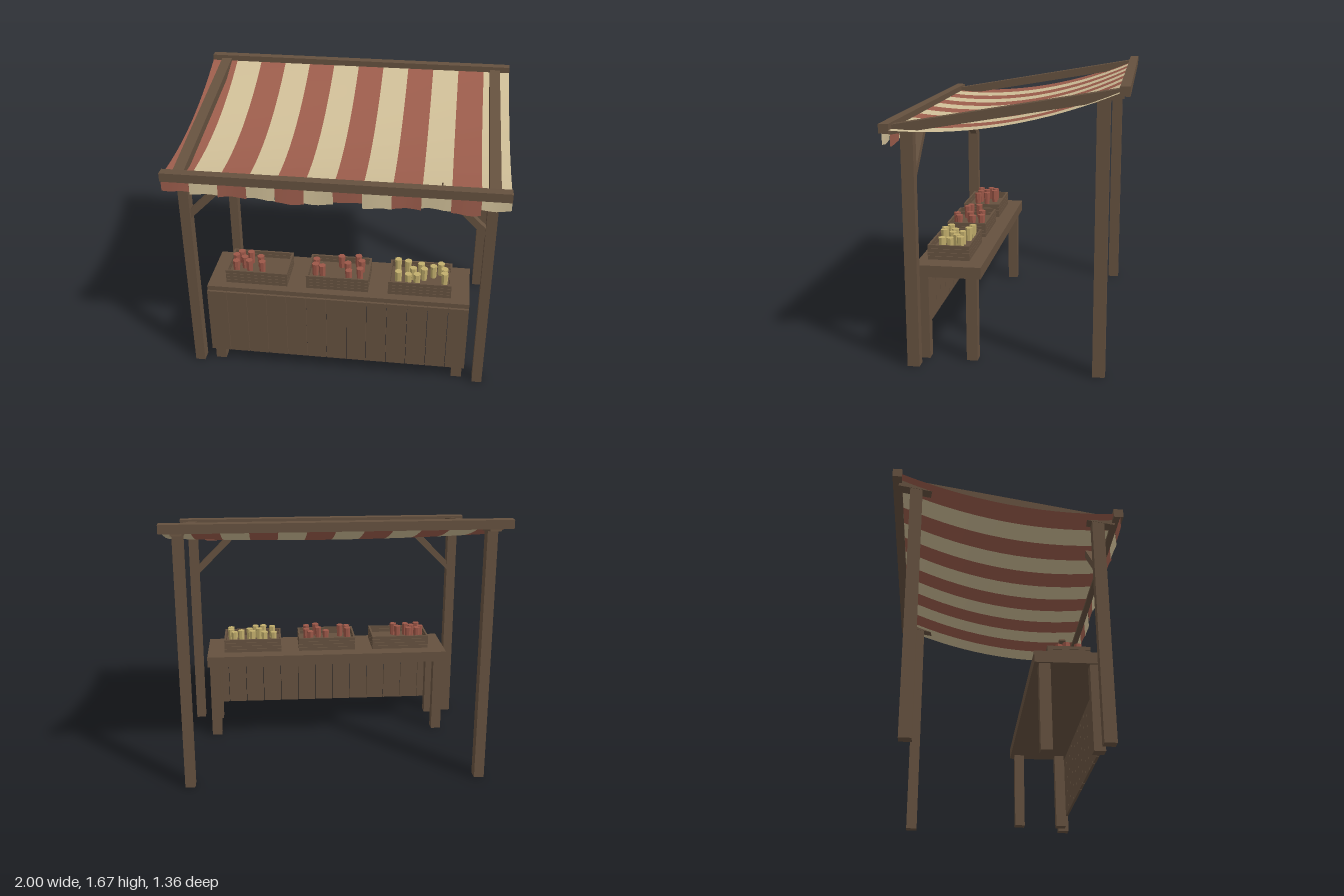
import * as THREE from 'three';

const material = (name, color, side = THREE.FrontSide) => {
  const m = new THREE.MeshStandardMaterial({ color, side });
  m.name = name;
  return m;
};

export function createModel() {
  const model = new THREE.Group();
  model.name = 'marketStall';
  const wood = material('brown wood', 0x65513f);
  const redCloth = material('red cloth', 0x9c5d4c, THREE.DoubleSide);
  const creamCloth = material('cream cloth', 0xcfbe97, THREE.DoubleSide);
  const redFruit = material('red produce', 0x9c5748);
  const yellowFruit = material('yellow produce', 0xc2ae6c);
  redFruit.flatShading = yellowFruit.flatShading = true;

  let seed = 11;
  const rand = () => (seed = (seed * 16807) % 2147483647) / 2147483647;

  const add = (name, geometry, mat, parent = model) => {
    const mesh = new THREE.Mesh(geometry, mat);
    mesh.name = name;
    parent.add(mesh);
    return mesh;
  };
  // Box given by its lower and upper corners
  const box = (name, x0, x1, y0, y1, z0, z1, parent = model) => {
    const mesh = add(name, new THREE.BoxGeometry(x1 - x0, y1 - y0, z1 - z0), wood, parent);
    mesh.position.set((x0 + x1) / 2, (y0 + y1) / 2, (z0 + z1) / 2);
    return mesh;
  };

  // Frame: cross beams, posts, sloping rafters and corner braces
  box('frontBeam', -1, 1, 1.388, 1.442, 0.623, 0.68);
  box('backBeam', -1, 1, 1.613, 1.666, -0.682, -0.627);
  for (const s of [-1, 1]) {
    const side = s > 0 ? 'left' : 'right';
    const x = s * 0.905;
    box(side + 'FrontPost', x - 0.031, x + 0.031, 0, 1.4, 0.505, 0.577);
    box(side + 'BackPost', x - 0.031, x + 0.031, 0, 1.59, -0.577, -0.505);

    const rafter = add(side + 'Rafter', new THREE.BoxGeometry(0.066, 0.054, 1.305), wood);
    rafter.position.set(x, 1.51, 0);
    rafter.rotation.x = Math.atan2(0.222, 1.285);

    // The left brace is a little longer and just pierces the cloth
    const reach = s > 0 ? 0.293 : 0.28;
    const brace = add(side + 'Brace', new THREE.BoxGeometry(0.042, reach * Math.SQRT2, 0.045), wood);
    brace.position.set(s * (0.89 - reach / 2), 1.095 + reach / 2, 0.537);
    brace.rotation.z = s * Math.PI / 4;
  }

  // Striped awning, sagging most in the middle, with an uneven front valance
  const awning = new THREE.Group();
  awning.name = 'awning';
  model.add(awning);
  const stripes = 12, w = 2 / stripes;
  const drops = [1.322, 1.312, 1.303, 1.303, 1.287, 1.293, 1.315, 1.29, 1.3, 1.308, 1.287, 1.322];
  for (let i = 0; i < stripes; i++) {
    const mat = i % 2 ? creamCloth : redCloth;
    const cx = -1 + (i + 0.5) * w;
    const cloth = new THREE.PlaneGeometry(w, 1.28, 2, 14).rotateX(-Math.PI / 2).translate(cx, 0, 0);
    const p = cloth.attributes.position;
    for (let k = 0; k < p.count; k++) {
      const t = (0.64 - p.getZ(k)) / 1.28;
      const sag = 0.099 - 0.022 * p.getX(k) ** 2;
      p.setY(k, 1.407 + 0.228 * t - sag * 4 * t * (1 - t));
    }
    cloth.computeVertexNormals();
    add('awningStripe', cloth, mat, awning);

    const flap = new THREE.PlaneGeometry(w, 1, 4, 1);
    const f = flap.attributes.position;
    for (let k = 0; k < f.count; k++) {
      const u = f.getX(k) / w, top = f.getY(k) > 0;
      const bottom = drops[i] + 0.006 * Math.sin(u * 5 + i);
      const z = top ? 0.661 : 0.664 + 0.004 * Math.sin(u * 3 + i * 2);
      f.setXYZ(k, cx + f.getX(k), top ? 1.395 : bottom, z);
    }
    flap.computeVertexNormals();
    add('valanceFlap', flap, mat, awning);
  }

  // Counter: top slab, four legs and front planks
  const counter = new THREE.Group();
  counter.name = 'counter';
  model.add(counter);
  box('counterTop', -0.82, 0.82, 0.515, 0.585, 0.157, 0.553, counter);
  for (const x of [-0.773, 0.773])
    for (const z of [0.217, 0.506])
      box('counterLeg', x - 0.033, x + 0.033, 0, 0.516, z - 0.033, z + 0.033, counter);
  const planks = 13, pw = 1.642 / planks;
  for (let i = 0; i < planks; i++) {
    const x = -0.821 + i * pw;
    box('frontPlank', x + 0.0015, x + pw - 0.0015, 0.096, 0.555, 0.5535, 0.569, counter);
  }

  // Slatted crates on the counter, filled with upright produce
  const crates = [
    { x: -0.513, mat: redFruit, count: 8 },
    { x: -0.003, mat: redFruit, count: 9 },
    { x: 0.51, mat: yellowFruit, count: 12 },
  ];
  for (const { x, mat, count } of crates) {
    const crate = new THREE.Group();
    crate.name = 'crate';
    crate.position.set(x, 0.585, 0.373);
    model.add(crate);
    box('crateFloor', -0.183, 0.183, 0.036, 0.046, -0.114, 0.114, crate);
    for (let r = 0; r < 4; r++) {
      const y = 0.001 + r * 0.0228;
      for (const s of [-1, 1]) {
        box('longSlat', -0.195, 0.195, y, y + 0.021, s * 0.12 - 0.006, s * 0.12 + 0.006, crate);
        box('shortSlat', s * 0.189 - 0.006, s * 0.189 + 0.006, y, y + 0.021, -0.114, 0.114, crate);
      }
    }
    // Keep pieces from overlapping by rejecting close positions
    const placed = [];
    for (let tries = 0; placed.length < count && tries < 400; tries++) {
      const px = (rand() * 2 - 1) * 0.152, pz = (rand() * 2 - 1) * 0.085;
      if (placed.some(([a, b]) => Math.hypot(a - px, b - pz) < 0.046)) continue;
      placed.push([px, pz]);
      const piece = add('produce', new THREE.CylinderGeometry(0.023, 0.019, 0.084, 7), mat, crate);
      piece.position.set(px, 0.087, pz);
      piece.rotation.y = rand() * 6;
    }
  }
  return model;
}
